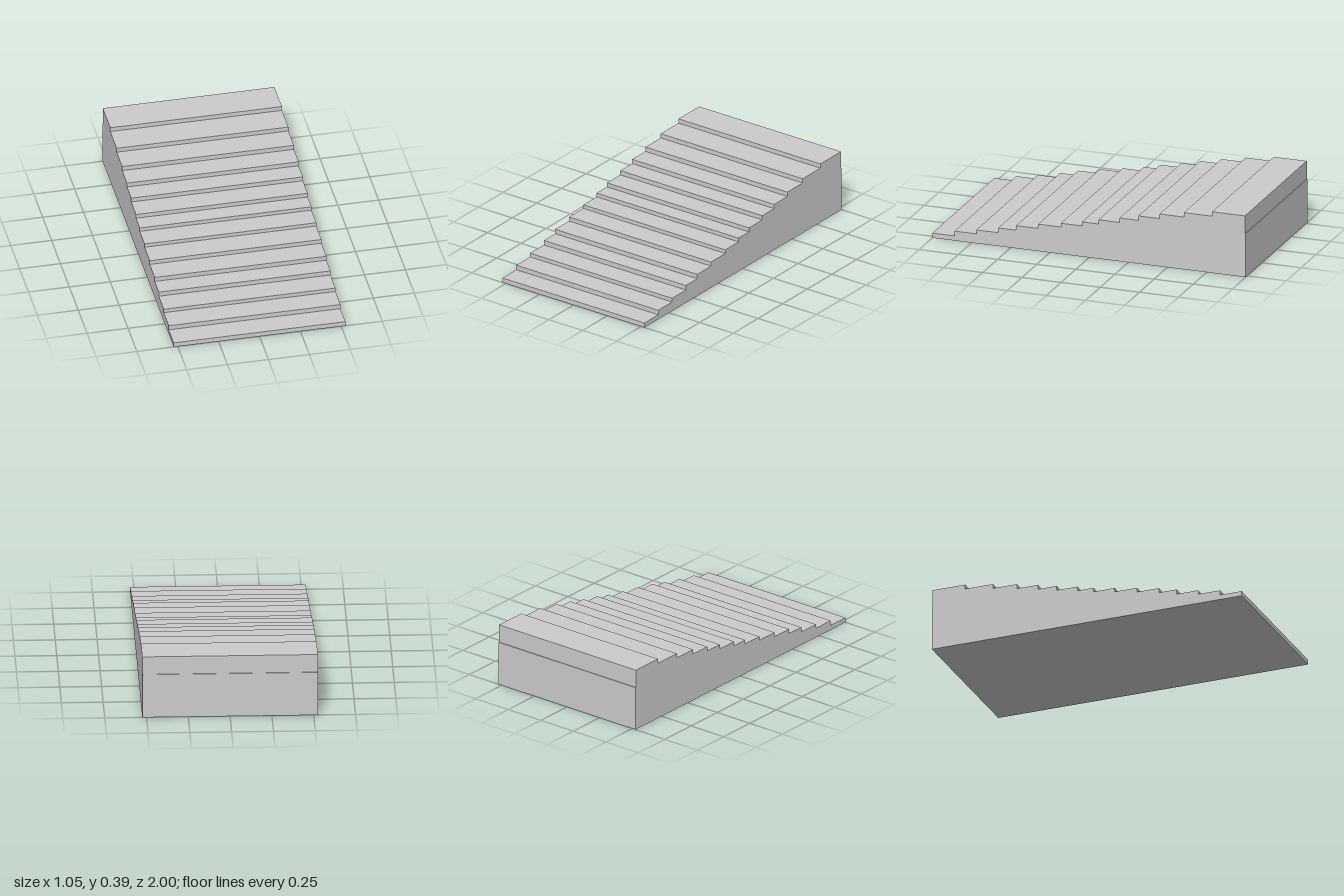
import * as THREE from 'three';

// Front edge (z) and tread height (y) of each step, bottom to top
const STEPS = [
  [1, 0.03], [0.86, 0.06], [0.72, 0.085], [0.58, 0.115], [0.465, 0.144],
  [0.325, 0.171], [0.18, 0.195], [0.045, 0.22], [-0.06, 0.247], [-0.195, 0.275],
  [-0.315, 0.303], [-0.45, 0.332], [-0.605, 0.36], [-0.785, 0.388],
];
const WIDTH = 1.05;

export function createModel() {
  const group = new THREE.Group();
  group.name = 'staircase';

  // Side profile: shape x is the model's z
  const profile = new THREE.Shape();
  profile.moveTo(-1, 0);
  profile.lineTo(1, 0);
  let height = 0;
  for (const [z, y] of STEPS) {
    if (height > 0) profile.lineTo(z, height);
    profile.lineTo(z, y);
    height = y;
  }
  // Back wall, set in very slightly near the top
  profile.lineTo(-0.995, height);
  profile.lineTo(-0.995, 0.275);
  profile.lineTo(-1, 0.275);
  profile.closePath();

  // Solid flight of steps across the full width
  const geometry = new THREE.ExtrudeGeometry(profile, { depth: WIDTH, bevelEnabled: false });
  geometry.translate(0, 0, -WIDTH / 2);
  geometry.rotateY(-Math.PI / 2);
  const material = new THREE.MeshStandardMaterial({ color: 0xcccccc, flatShading: true });
  const steps = new THREE.Mesh(geometry, material);
  steps.name = 'steps';
  group.add(steps);

  return group;
}
